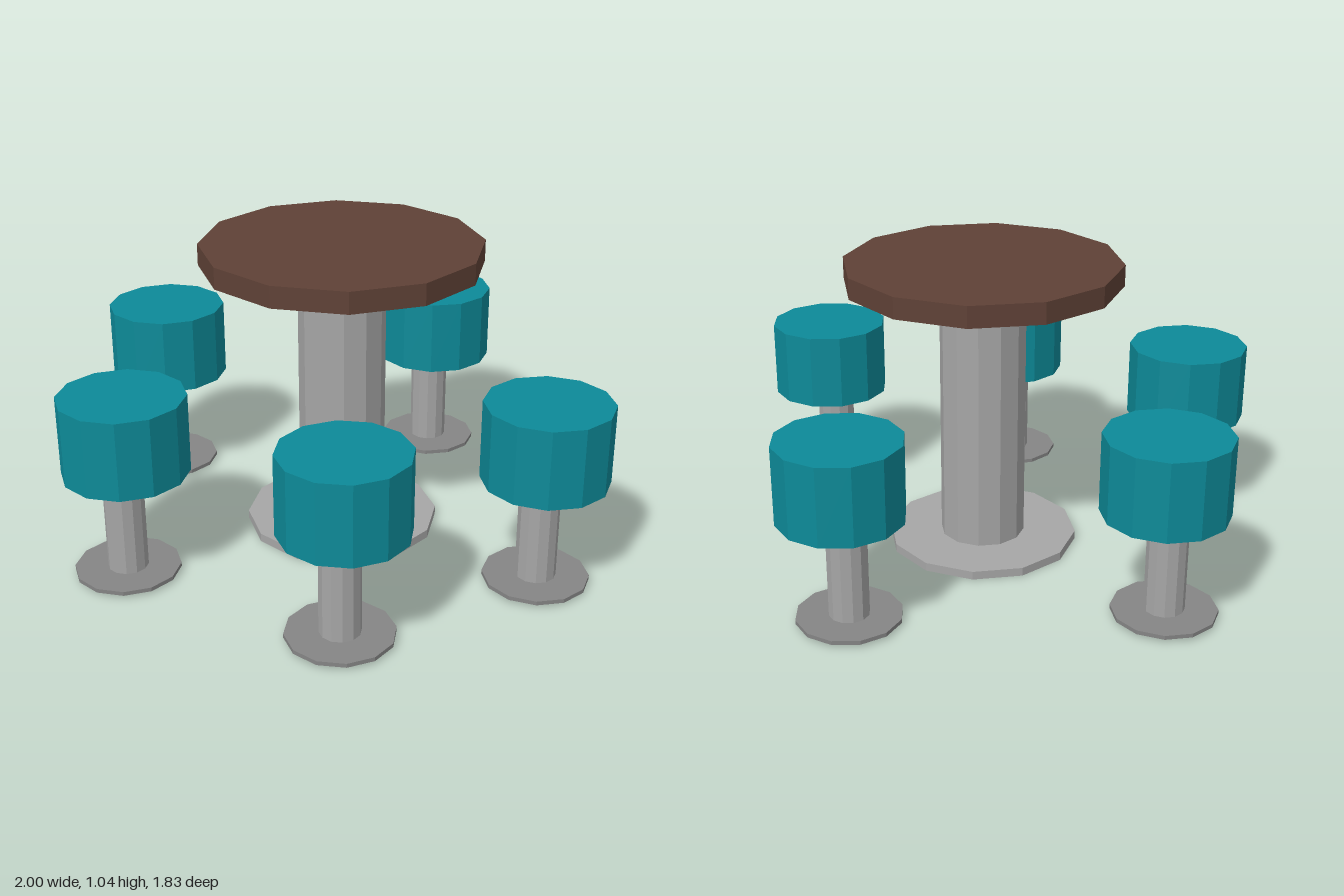
import * as THREE from 'three';

const SIDES = 12;

function material(name, color) {
  const m = new THREE.MeshStandardMaterial({ color, flatShading: true });
  m.name = name;
  return m;
}

// Upright faceted disc or post between two heights
function drum(name, radius, y0, y1, mat, x = 0, z = 0) {
  const mesh = new THREE.Mesh(new THREE.CylinderGeometry(radius, radius, y1 - y0, SIDES), mat);
  mesh.name = name;
  mesh.position.set(x, (y0 + y1) / 2, z);
  return mesh;
}

export function createModel() {
  const wood = material('brown wood', 0x5f4136);
  const teal = material('teal cushion', 0x0d8a98);
  const metal = material('light grey metal', 0xa6a6a6);
  const darkMetal = material('dark grey metal', 0x858585);

  const model = new THREE.Group();
  model.name = 'tableWithStools';

  // Round pedestal table
  const table = new THREE.Group();
  table.name = 'table';
  table.position.set(0.01, 0, 0.034);
  table.add(
    drum('tableBase', 0.337, 0, 0.03, metal),
    drum('tablePost', 0.15, 0.03, 0.966, metal),
    drum('tableTop', 0.48, 0.966, 1.04, wood),
  );
  model.add(table);

  // Five stools: x, z, turn in degrees
  const stools = [
    [0.028, -0.708, -8],
    [-0.787, -0.075, 0],
    [-0.45, 0.682, 0],
    [0.365, 0.702, 4],
    [0.787, 0.105, -8],
  ];
  for (const [x, z, turn] of stools) {
    const stool = new THREE.Group();
    stool.name = 'stool';
    stool.position.set(x, 0, z);
    const seat = drum('seat', 0.212, 0.375, 0.645, teal);
    // The pedestal sits slightly off the centre of the seat
    const post = drum('stoolPost', 0.068, 0.024, 0.375, metal, -0.01, 0.01);
    const base = drum('stoolBase', 0.178, 0.01, 0.024, darkMetal, -0.01, 0.01);
    for (const part of [seat, post, base]) part.rotation.y = THREE.MathUtils.degToRad(turn);
    stool.add(seat, post, base);
    model.add(stool);
  }
  return model;
}
